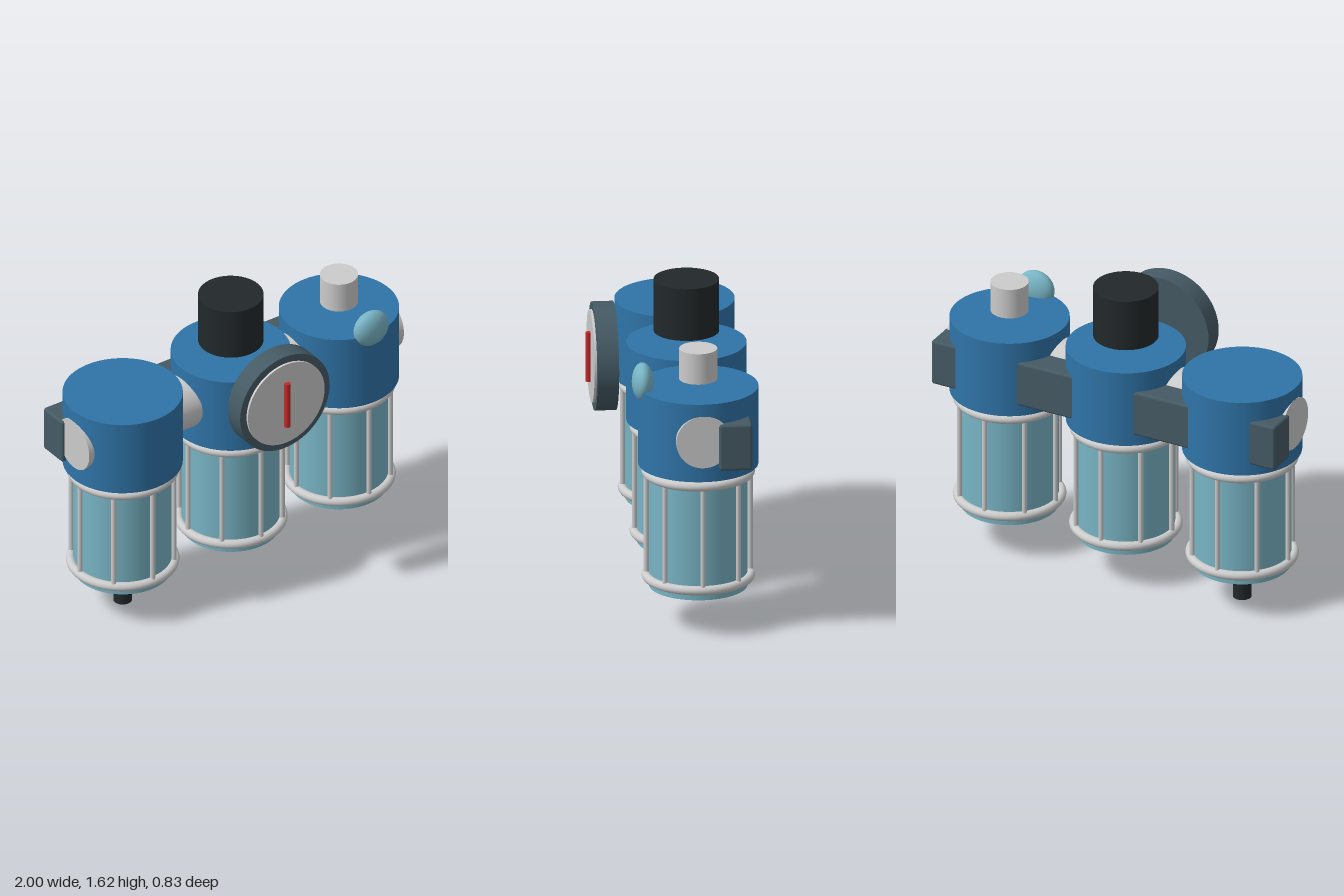
import * as THREE from 'three';
import { RoundedBoxGeometry } from 'three/addons/geometries/RoundedBoxGeometry.js';

const mat = (color) => new THREE.MeshStandardMaterial({ color });

export function createModel() {
  const root = new THREE.Group();
  const blue = mat(0x2f74a8), glass = mat(0x78b4c4), slate = mat(0x455a64);
  const black = mat(0x22282a), metal = mat(0xcccccc), red = mat(0xc62828);
  const Z = -0.105; // shared axis of the three units
  const S = 0.677; // spacing between units

  const add = (parent, name, geometry, material, x, y, z) => {
    const m = new THREE.Mesh(geometry, material);
    m.name = name;
    m.position.set(x, y, z);
    parent.add(m);
    return m;
  };
  // upright cylinder between two heights
  const post = (parent, name, r, y0, y1, material, x, z, sides = 48) =>
    add(parent, name, new THREE.CylinderGeometry(r, r, y1 - y0, sides), material, x, (y0 + y1) / 2, z);
  // disc facing the front between two depths
  const disc = (parent, name, r, z0, z1, material, y) => {
    const m = add(parent, name, new THREE.CylinderGeometry(r, r, z1 - z0, 64), material, 0, y, (z0 + z1) / 2);
    m.rotation.x = Math.PI / 2;
    return m;
  };

  // three filter units: head, bowl and a cage of rings and rods
  ['rightUnit', 'middleUnit', 'leftUnit'].forEach((name, i) => {
    const unit = new THREE.Group();
    unit.name = name;
    unit.position.set((i - 1) * S, 0, Z);
    root.add(unit);
    post(unit, 'head', 0.308, 0.86, 1.28, blue, 0, 0, 64);
    post(unit, 'bowl', 0.253, 0.2, 0.87, glass, 0, 0, 64);
    for (const y of [0.257, 0.82]) {
      const ring = add(unit, 'cageRing', new THREE.TorusGeometry(0.267, 0.024, 16, 64), metal, 0, y, 0);
      ring.rotation.x = Math.PI / 2;
    }
    for (let k = 0; k < 8; k++) {
      const a = (k * Math.PI) / 4;
      post(unit, 'cageRod', 0.013, 0.257, 0.82, metal, 0.267 * Math.cos(a), 0.267 * Math.sin(a), 12);
    }
  });

  // through pipe and rear mounting bar
  const pipe = add(root, 'pipe', new THREE.CylinderGeometry(0.14, 0.14, 1.97, 48), metal, 0, 1.075, Z);
  pipe.rotation.z = Math.PI / 2;
  add(root, 'mountingBar', new RoundedBoxGeometry(2, 0.25, 0.17, 3, 0.015), slate, 0, 1.045, -0.27);

  // drain, regulator knob and filler cap
  post(root, 'drain', 0.048, 0, 0.21, black, -S, Z, 32);
  post(root, 'knob', 0.168, 1.34, 1.62, black, 0, Z);
  post(root, 'fillerCap', 0.098, 1.315, 1.48, metal, S, Z);

  // sight dome on the left unit
  const dome = add(root, 'sightDome', new THREE.SphereGeometry(1, 40, 28), glass, S, 1.305, 0.18);
  dome.scale.set(0.103, 0.1, 0.056);

  // pressure gauge
  const gauge = new THREE.Group();
  gauge.name = 'gauge';
  root.add(gauge);
  disc(gauge, 'gaugeBody', 0.28, 0.265, 0.375, slate, 1.215);
  disc(gauge, 'gaugeFace', 0.24, 0.36, 0.388, metal, 1.215);
  post(gauge, 'needle', 0.016, 1.08, 1.345, red, 0, 0.397, 20);

  return root;
}
